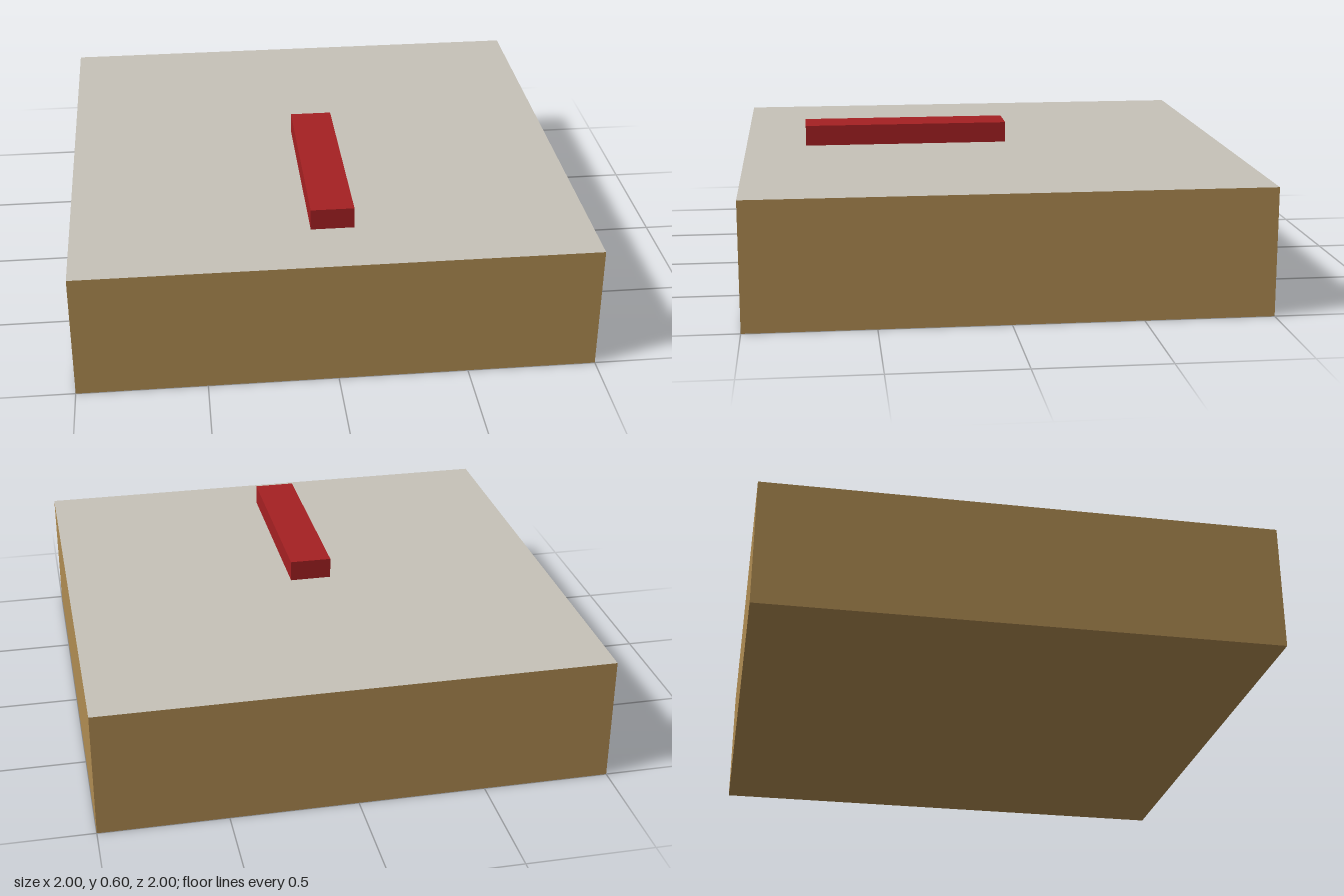
import * as THREE from 'three';

const flat = (name, color) => {
  const material = new THREE.MeshStandardMaterial({ color });
  material.name = name;
  return material;
};

export function createModel() {
  const tan = flat('tan sides', 0xb08c52);
  const grey = flat('warm grey top', 0xc6c2b8);
  const red = flat('red', 0xa52022);

  const group = new THREE.Group();

  const addBox = (name, size, position, material) => {
    const mesh = new THREE.Mesh(new THREE.BoxGeometry(...size), material);
    mesh.name = name;
    mesh.position.set(...position);
    group.add(mesh);
  };

  // Square slab: tan sides and underside, grey top face
  addBox('base', [2, 0.5, 2], [0, 0.25, 0], [tan, tan, grey, tan, tan, tan]);

  // Bar hovering just above the slab, reaching towards the front
  addBox('bar', [0.167, 0.083, 0.834], [0, 0.5585, 0.333], red);

  return group;
}
